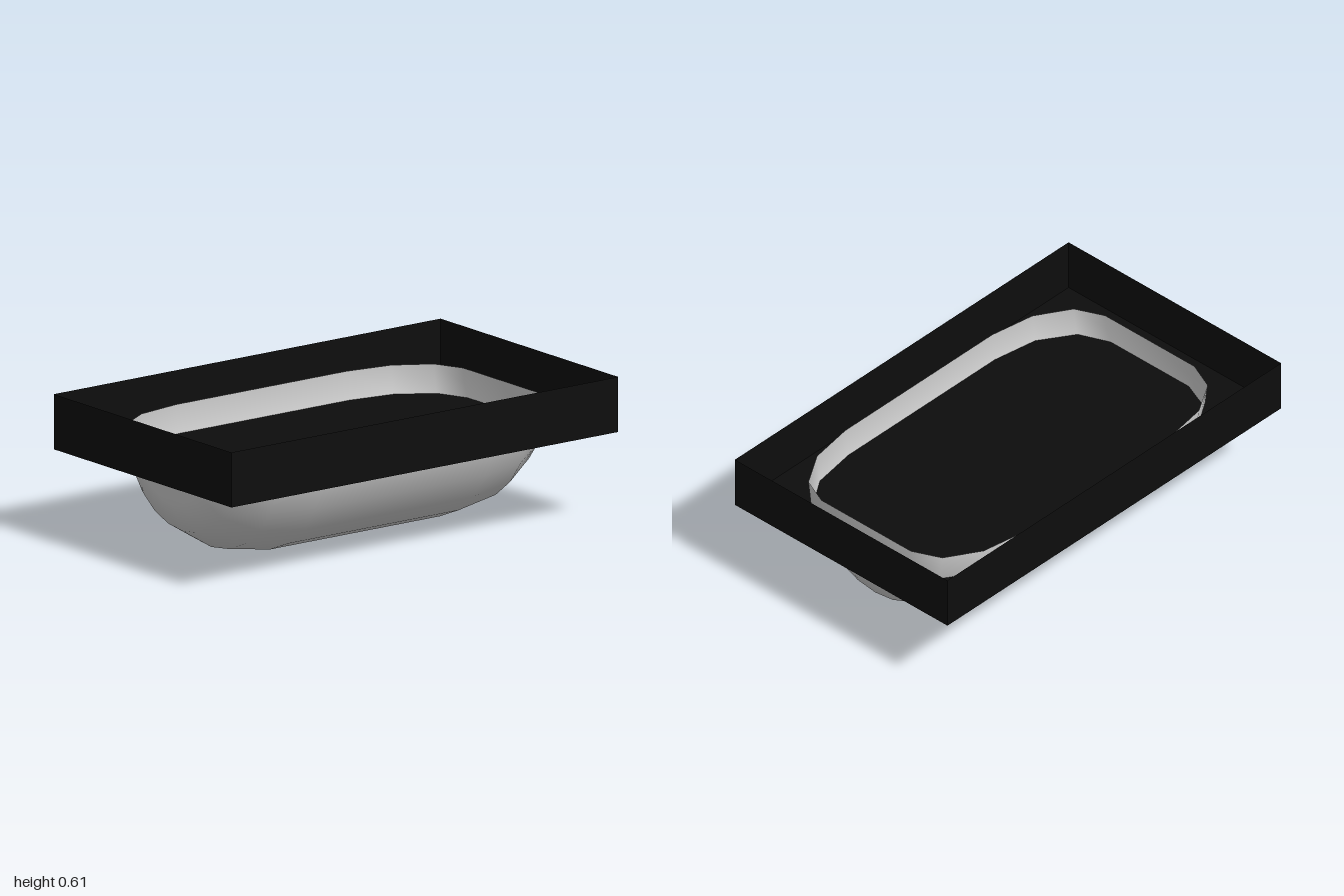
import * as THREE from 'three';

const trayBlack = new THREE.MeshStandardMaterial({ color: 0x0d0d0d, side: THREE.DoubleSide });
trayBlack.name = 'tray black';
const hullGrey = new THREE.MeshStandardMaterial({ color: 0xcccccc, side: THREE.DoubleSide });
hullGrey.name = 'hull grey';

function part(name, geometry, material) {
  const mesh = new THREE.Mesh(geometry, material);
  mesh.name = name;
  return mesh;
}

// Thin-walled rectangular tray, open at the top
function trayGeometry(width, depth, bottom, top) {
  const box = new THREE.BoxGeometry(width, top - bottom, depth);
  const index = Array.from(box.index.array);
  index.splice(12, 6); // drop the top face
  box.setIndex(index);
  box.clearGroups();
  return box.translate(0, (bottom + top) / 2, 0);
}

// Half capsule lying along x: straight middle, elliptical shoulders, flat end caps
function hullGeometry() {
  const radius = 0.5, capRadius = 0.25, straight = 0.44, end = 0.85;
  const half = [];
  for (let i = 0; i <= 3; i++) {
    const a = (i / 3) * Math.PI / 2;
    half.push(new THREE.Vector2(
      capRadius + (radius - capRadius) * Math.cos(a),
      straight + (end - straight) * Math.sin(a)
    ));
  }
  half.push(new THREE.Vector2(0, end));
  const mirrored = half.map((p) => new THREE.Vector2(p.x, -p.y)).reverse();
  return new THREE.LatheGeometry([...mirrored, ...half], 12, 0, Math.PI)
    .rotateZ(-Math.PI / 2)
    .translate(0, radius, 0);
}

export function createModel() {
  const model = new THREE.Group();
  model.name = 'basin';
  model.add(part('tray', trayGeometry(2, 1.19, 0.38, 0.613), trayBlack));
  model.add(part('hull', hullGeometry(), hullGrey));
  return model;
}
